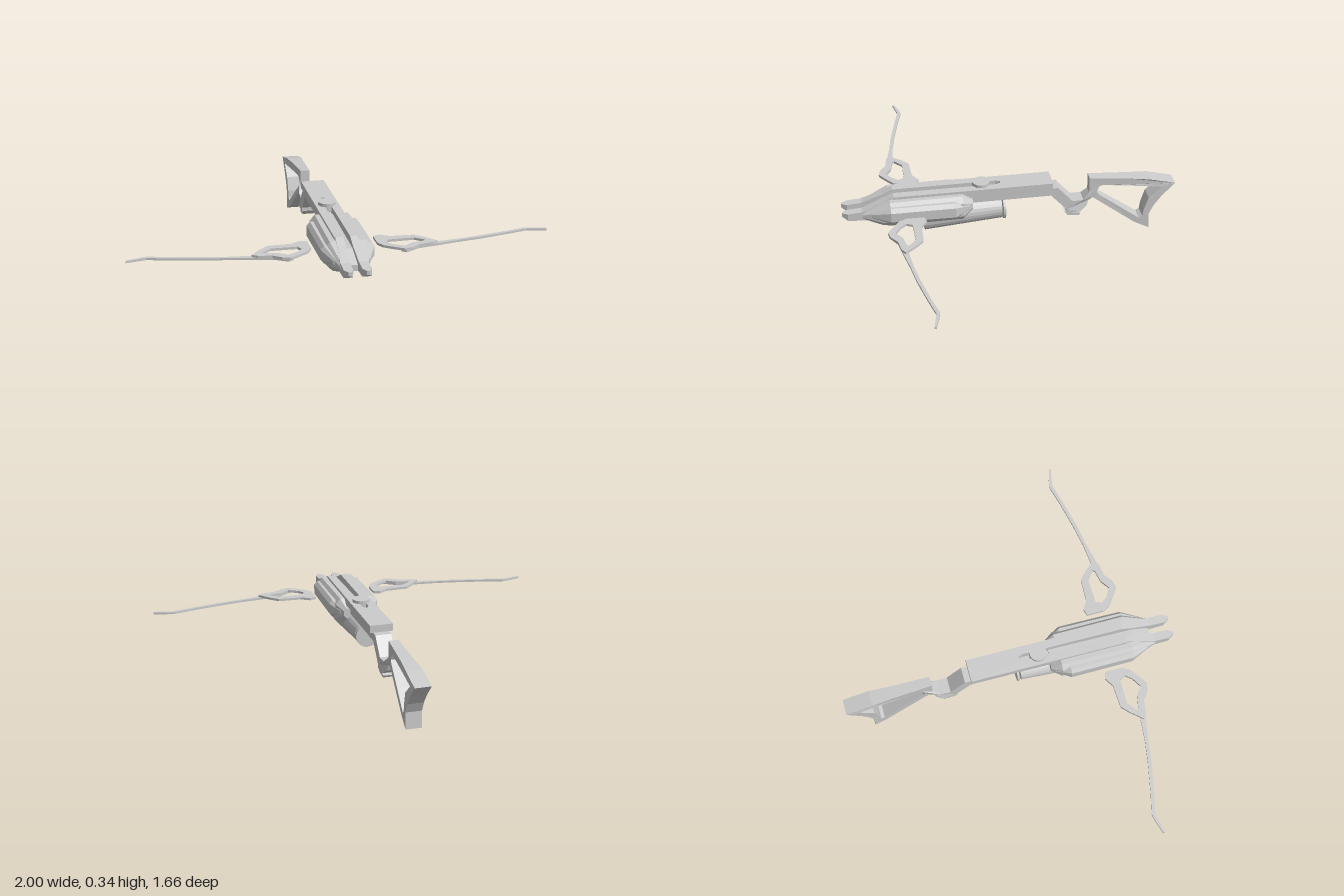
import * as THREE from 'three';

const material = new THREE.MeshStandardMaterial({ color: 0xcccccc, flatShading: true });

function add(parent, name, geometry) {
  const mesh = new THREE.Mesh(geometry, material);
  mesh.name = name;
  parent.add(mesh);
  return mesh;
}

function makeShape(points, hole) {
  const toVec = (p) => new THREE.Vector2(p[0], p[1]);
  const shape = new THREE.Shape(points.map(toVec));
  if (hole) shape.holes.push(new THREE.Path(hole.map(toVec)));
  return shape;
}

// Side profile given as [z, y], extruded across x
function sideExtrude(points, width, hole) {
  const g = new THREE.ExtrudeGeometry(makeShape(points, hole), { depth: width, bevelEnabled: false });
  return g.translate(0, 0, -width / 2).rotateY(-Math.PI / 2);
}

// Plan outline given as [x, z], extruded from yTop down to yBottom
function planExtrude(points, yBottom, yTop, hole) {
  const g = new THREE.ExtrudeGeometry(makeShape(points, hole), { depth: yTop - yBottom, bevelEnabled: false });
  return g.rotateX(Math.PI / 2).translate(0, yTop, 0);
}

// Skin over convex sections {z, pts: [x, y] counter-clockwise from the front}, ordered back to front
function loft(sections, side = 1) {
  const rings = sections.map(({ z, pts }) => {
    const ring = pts.map(([x, y]) => [x * side, y, z]);
    return side < 0 ? ring.reverse() : ring;
  });
  const out = [];
  const tri = (a, b, c) => out.push(...a, ...b, ...c);
  const n = rings[0].length;
  for (let k = 0; k < rings.length - 1; k++) {
    for (let i = 0; i < n; i++) {
      const j = (i + 1) % n;
      tri(rings[k][i], rings[k][j], rings[k + 1][j]);
      tri(rings[k][i], rings[k + 1][j], rings[k + 1][i]);
    }
  }
  const back = rings[0], front = rings[rings.length - 1];
  for (let i = 1; i < n - 1; i++) {
    tri(front[0], front[i], front[i + 1]);
    tri(back[0], back[i + 1], back[i]);
  }
  const g = new THREE.BufferGeometry();
  g.setAttribute('position', new THREE.Float32BufferAttribute(out, 3));
  g.computeVertexNormals();
  return g;
}

// Section with a flat inner side and a chamfered outer side
function podSection(z, xIn, xOut, yLow, yHigh, bevel) {
  return { z, pts: [
    [xIn, yLow], [xOut - bevel, yLow], [xOut, yLow + bevel * 1.2],
    [xOut, yHigh - bevel * 1.2], [xOut - bevel, yHigh], [xIn, yHigh],
  ] };
}

function boxSection(z, x0, x1, y0, y1) {
  return { z, pts: [[x0, y0], [x1, y0], [x1, y1], [x0, y1]] };
}

// Half width of the stock along its length
function stockHalfWidth(z) {
  const keys = [[-0.84, 0.04], [-0.7, 0.04], [-0.6, 0.032], [-0.5, 0.026], [-0.396, 0.024], [-0.36, 0.04], [1, 0.04]];
  for (let i = 0; i < keys.length - 1; i++) {
    const [z0, w0] = keys[i], [z1, w1] = keys[i + 1];
    if (z <= z1) return w0 + (w1 - w0) * (z - z0) / (z1 - z0);
  }
  return 0.04;
}

export function createModel() {
  const model = new THREE.Group();
  model.name = 'crossbow';

  // Lower rail, grip and open shoulder stock, pinched at the wrist
  const stock = sideExtrude(
    [[0.58, 0.285], [-0.235, 0.285], [-0.31, 0.2], [-0.365, 0.2], [-0.396, 0.23], [-0.396, 0.316],
      [-0.5, 0.307], [-0.6, 0.298], [-0.7, 0.288], [-0.832, 0.255], [-0.767, 0.186], [-0.73, 0.135],
      [-0.705, 0.083], [-0.71, 0], [-0.633, 0.038], [-0.53, 0.115], [-0.415, 0.203], [-0.393, 0.19],
      [-0.383, 0.16], [-0.35, 0.135], [-0.28, 0.135], [-0.28, 0.155], [-0.2, 0.244], [0.58, 0.244]],
    2,
    [[-0.45, 0.27], [-0.434, 0.235], [-0.445, 0.217], [-0.55, 0.14], [-0.655, 0.062], [-0.673, 0.072],
      [-0.678, 0.11], [-0.7, 0.18], [-0.767, 0.238], [-0.6, 0.257], [-0.5, 0.266]]);
  const pos = stock.attributes.position;
  for (let i = 0; i < pos.count; i++) pos.setX(i, pos.getX(i) * stockHalfWidth(pos.getZ(i)));
  stock.computeVertexNormals();
  add(model, 'stock', stock);
  add(model, 'gripPad', sideExtrude(
    [[-0.27, 0.14], [-0.352, 0.122], [-0.345, 0.11], [-0.285, 0.118]], 0.07));

  // Top rail with a pointed bolt channel
  add(model, 'topRail', planExtrude(
    [[-0.058, -0.205], [0.058, -0.205], [0.058, 0.58], [0.016, 0.58], [0.016, 0.07], [0.008, 0.05],
      [-0.008, 0.05], [-0.016, 0.07], [-0.016, 0.58], [-0.058, 0.58]], 0.288, 0.325));
  const button = add(model, 'topButton', new THREE.CylinderGeometry(0.043, 0.043, 0.04, 20));
  button.position.set(0, 0.32, 0.145);

  // Central body under the rail
  add(model, 'body', loft([
    boxSection(0.2, -0.058, 0.058, 0.215, 0.295),
    boxSection(0.24, -0.06, 0.06, 0.18, 0.295),
    boxSection(0.63, -0.06, 0.06, 0.18, 0.285),
    boxSection(0.72, -0.03, 0.03, 0.21, 0.24),
  ]));

  // Tapered barrel slung underneath, with its end cap
  const ring = (z, y, r) => ({
    z,
    pts: Array.from({ length: 24 }, (_, i) => {
      const a = i / 24 * Math.PI * 2;
      return [Math.cos(a) * r, y + Math.sin(a) * r];
    }),
  });
  add(model, 'underBarrel', loft([ring(0.047, 0.186, 0.058), ring(0.433, 0.175, 0.075)]));
  add(model, 'underBarrelCap', loft([ring(0.028, 0.182, 0.06), ring(0.04, 0.182, 0.06)]));

  for (const side of [1, -1]) {
    const half = new THREE.Group();
    half.name = side > 0 ? 'leftSide' : 'rightSide';
    model.add(half);
    const plan = (pts) => pts.map(([x, z]) => [x * side, z]);

    // Front prong sloping down from the rail to a pointed tip
    add(half, 'prong', loft([
      boxSection(0.56, 0.016, 0.054, 0.2, 0.325),
      boxSection(0.58, 0.016, 0.054, 0.2, 0.325),
      boxSection(0.63, 0.016, 0.056, 0.2, 0.302),
      boxSection(0.735, 0.021, 0.064, 0.213, 0.26),
      boxSection(0.805, 0.021, 0.064, 0.217, 0.255),
      boxSection(0.832, 0.036, 0.048, 0.235, 0.254),
    ], side));

    // Armoured side pod and its raised panel
    add(half, 'sidePod', loft([
      podSection(0.195, 0.04, 0.075, 0.222, 0.275, 0.012),
      podSection(0.245, 0.04, 0.105, 0.182, 0.312, 0.024),
      podSection(0.6, 0.04, 0.108, 0.182, 0.312, 0.024),
      podSection(0.64, 0.04, 0.098, 0.185, 0.295, 0.022),
      podSection(0.735, 0.04, 0.066, 0.218, 0.255, 0.01),
    ], side));
    add(half, 'sidePanel', loft([
      podSection(0.215, 0.06, 0.09, 0.23, 0.27, 0.01),
      podSection(0.285, 0.06, 0.128, 0.205, 0.295, 0.016),
      podSection(0.6, 0.06, 0.126, 0.208, 0.295, 0.016),
      podSection(0.69, 0.06, 0.085, 0.23, 0.262, 0.008),
    ], side));

    // Open bracket holding the limb
    add(half, 'limbBracket', planExtrude(
      plan([[0.157, 0.445], [0.19, 0.435], [0.235, 0.463], [0.35, 0.468], [0.39, 0.505], [0.437, 0.56],
        [0.41, 0.578], [0.345, 0.588], [0.305, 0.618], [0.265, 0.628], [0.225, 0.602], [0.175, 0.565],
        [0.157, 0.53]]),
      0.25, 0.262,
      plan([[0.215, 0.505], [0.2, 0.535], [0.225, 0.565], [0.272, 0.593], [0.315, 0.562], [0.375, 0.55],
        [0.385, 0.54], [0.34, 0.503]])));

    // Long recurved limb
    add(half, 'limb', planExtrude(
      plan([[0.252, 0.61], [0.32, 0.565], [0.43, 0.545], [0.54, 0.534], [0.65, 0.515], [0.8, 0.483],
        [0.9, 0.457], [0.94, 0.466], [1, 0.484], [1, 0.493], [0.94, 0.481], [0.905, 0.474],
        [0.8, 0.5], [0.65, 0.533], [0.54, 0.55], [0.43, 0.572], [0.34, 0.588], [0.275, 0.625]]),
      0.241, 0.251));
  }
  return model;
}
